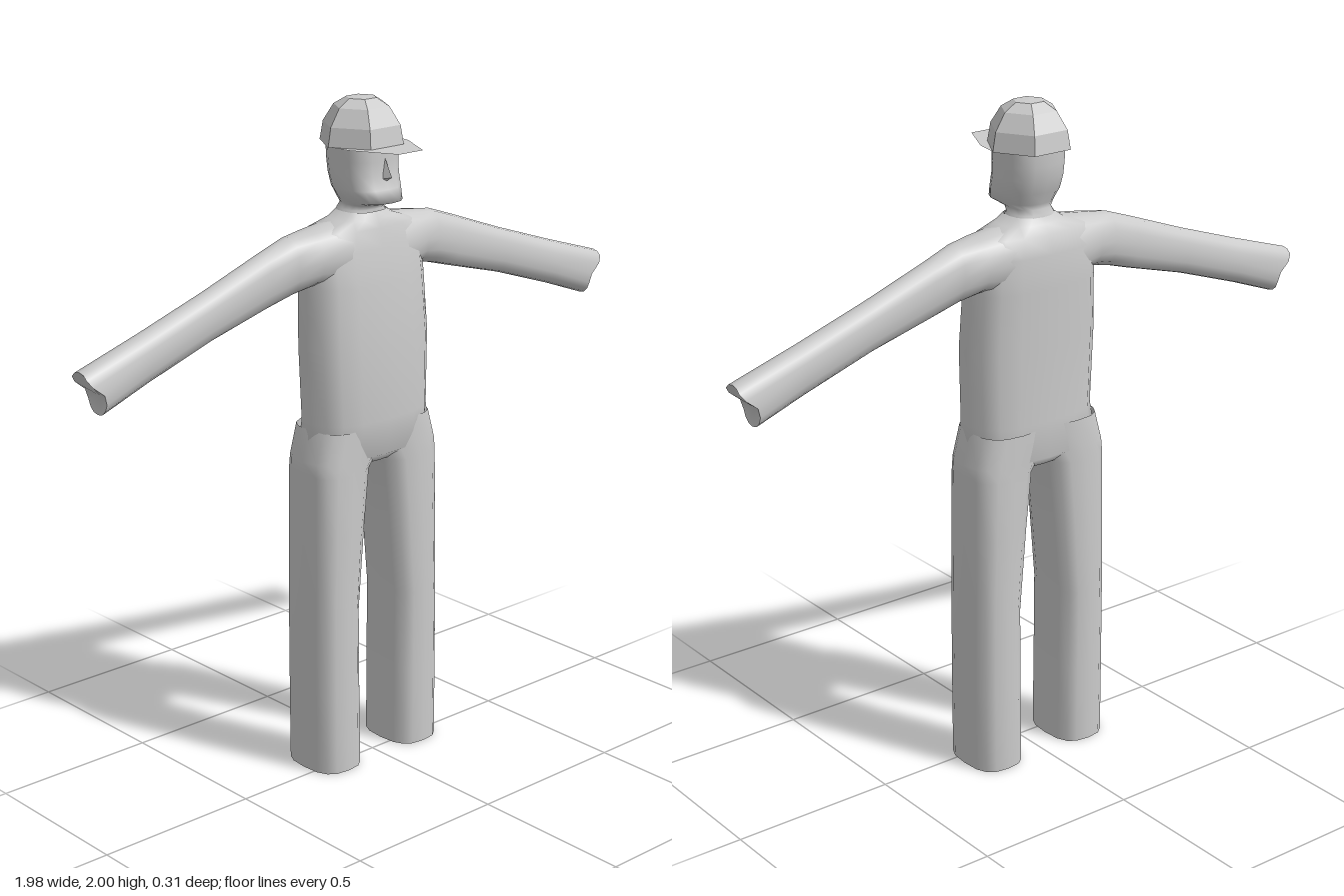
import * as THREE from 'three';
import { ConvexGeometry } from 'three/addons/geometries/ConvexGeometry.js';

const grey = new THREE.MeshStandardMaterial({ color: 0xcccccc, side: THREE.DoubleSide });
const greyFlat = new THREE.MeshStandardMaterial({ color: 0xcccccc, flatShading: true, side: THREE.DoubleSide });
const SIDES = 16;

// Rounded-box loop in two axes: p = 2 is an ellipse, larger is squarer
function loop(a0, a1, b0, b1, p) {
  const pts = [];
  for (let j = 0; j < SIDES; j++) {
    const t = (j / SIDES) * Math.PI * 2;
    const c = Math.cos(t), s = Math.sin(t);
    const u = Math.sign(c) * Math.abs(c) ** (2 / p);
    const v = Math.sign(s) * Math.abs(s) ** (2 / p);
    pts.push({ u, a: (a0 + a1) / 2 + (u * (a1 - a0)) / 2, b: (b0 + b1) / 2 + (v * (b1 - b0)) / 2 });
  }
  return pts;
}

// Horizontal section at height y, spanning x and z
const level = (y, x0, x1, zBack, zFront, p = 2.6) =>
  loop(x0, x1, zFront, zBack, p).map(q => new THREE.Vector3(q.a, y, q.b));

// Skin a row of sections; each end gets its own hard-edged cap
function loft(rings, { start = null, end = null } = {}) {
  const pos = [], idx = [], n = SIDES;
  rings.forEach(r => r.forEach(v => pos.push(v.x, v.y, v.z)));
  for (let i = 0; i < rings.length - 1; i++) {
    for (let j = 0; j < n; j++) {
      const a = i * n + j, b = i * n + (j + 1) % n;
      idx.push(a, b, a + n, b, b + n, a + n);
    }
  }
  const cap = (ring, centre, flip) => {
    const base = pos.length / 3;
    [...ring, centre].forEach(v => pos.push(v.x, v.y, v.z));
    for (let j = 0; j < n; j++) {
      const a = base + j, b = base + (j + 1) % n;
      idx.push(base + n, flip ? b : a, flip ? a : b);
    }
  };
  if (start) cap(rings[0], start, true);
  if (end) cap(rings[rings.length - 1], end, false);
  const g = new THREE.BufferGeometry();
  g.setAttribute('position', new THREE.Float32BufferAttribute(pos, 3));
  g.setIndex(idx);
  g.computeVertexNormals();
  return g;
}

// Mirror a section across x, keeping its winding
const side = (ring, s) => (s > 0 ? ring : ring.map(v => new THREE.Vector3(-v.x, v.y, v.z)).reverse());

export function createModel() {
  const model = new THREE.Group();
  const add = (name, geometry, material = grey) => {
    const m = new THREE.Mesh(geometry, material);
    m.name = name;
    model.add(m);
    return m;
  };

  // Torso: y, half width, back z, front z
  const torso = [
    [0.94, 0.13, -0.12, 0.03], [0.97, 0.225, -0.15, 0.066], [1.08, 0.207, -0.148, 0.08],
    [1.3, 0.215, -0.15, 0.075], [1.48, 0.208, -0.155, 0.062], [1.58, 0.205, -0.155, 0.045],
    [1.635, 0.18, -0.14, 0.033], [1.66, 0.1, -0.12, 0.025], [1.68, 0.07, -0.11, 0.015],
  ].map(([y, w, b, f]) => level(y, -w, w, b, f));
  add('torso', loft(torso, { start: new THREE.Vector3(0, 0.94, -0.045) }));

  // Head with neck and jutting chin
  const head = [
    [1.65, 0.09, -0.115, 0.02], [1.685, 0.065, -0.11, 0.008], [1.7, 0.06, -0.103, 0.025],
    [1.715, 0.078, -0.105, 0.085], [1.75, 0.092, -0.12, 0.066], [1.79, 0.094, -0.133, 0.056],
    [1.83, 0.095, -0.138, 0.054], [1.875, 0.096, -0.14, 0.054],
  ].map(([y, w, b, f]) => level(y, -w, w, b, f, 2.5));
  add('head', loft(head));

  // Nose wedge
  const nose = [[0, 1.845, 0.05], [-0.014, 1.78, 0.05], [0.014, 1.78, 0.05], [0, 1.787, 0.082], [0, 1.77, 0.052]];
  add('nose', new ConvexGeometry(nose.map(p => new THREE.Vector3(...p))), greyFlat);

  // Six-panel cap crown
  const crown = [[0.125, 1.87], [0.115, 1.925], [0.083, 1.975], [0.045, 1.998], [0, 2]];
  const cap = add('capCrown',
    new THREE.LatheGeometry(crown.map(p => new THREE.Vector2(...p)), 6, Math.PI / 2), greyFlat);
  cap.position.z = -0.045;

  // Thin flat brim
  const brim = new THREE.Shape(
    [[-0.122, 0.045], [-0.11, -0.03], [-0.045, -0.16], [0.045, -0.16], [0.11, -0.03], [0.122, 0.045]]
      .map(p => new THREE.Vector2(...p)));
  add('capBrim', new THREE.ShapeGeometry(brim).rotateX(-Math.PI / 2), greyFlat).position.y = 1.871;

  for (const s of [1, -1]) {
    const label = s > 0 ? 'left' : 'right';

    // Leg: y, inner x, outer x
    const leg = [
      [0, 0.07, 0.238], [0.25, 0.073, 0.238], [0.5, 0.075, 0.237],
      [0.75, 0.051, 0.236], [0.93, 0.03, 0.235], [0.97, 0.0, 0.234], [1.06, -0.01, 0.207],
    ].map(([y, i, o]) => side(level(y, i, o, -0.15, 0.066, 2.8), s));
    add(label + 'Leg', loft(leg, { start: new THREE.Vector3(s * 0.155, 0, -0.042) }));

    // Arm: x, bottom y, top y, back z, front z
    const arm = [
      [0.1, 1.47, 1.658, -0.145, 0.04], [0.2, 1.488, 1.645, -0.132, 0.025],
      [0.27, 1.473, 1.636, -0.112, 0.002], [0.36, 1.447, 1.605, -0.104, -0.012],
      [0.56, 1.392, 1.532, -0.1, -0.014], [0.78, 1.318, 1.458, -0.1, -0.012],
    ].map(([x, y0, y1, b, f]) => loop(y0, y1, b, f, 2.3).map(q => new THREE.Vector3(x, q.a, q.b)));
    // Notched cuff
    arm.push(loop(1.262, 1.392, -0.1, -0.01, 2.3).map(({ u, a, b }) =>
      new THREE.Vector3(0.932 + 0.056 * THREE.MathUtils.smoothstep(u, -0.23, 0.75), a, b)));
    add(label + 'Arm', loft(arm.map(r => side(r, s)).slice()[s > 0 ? 'slice' : 'slice'](),
      { end: new THREE.Vector3(s * 0.925, 1.315, -0.055) }));
  }
  return model;
}
